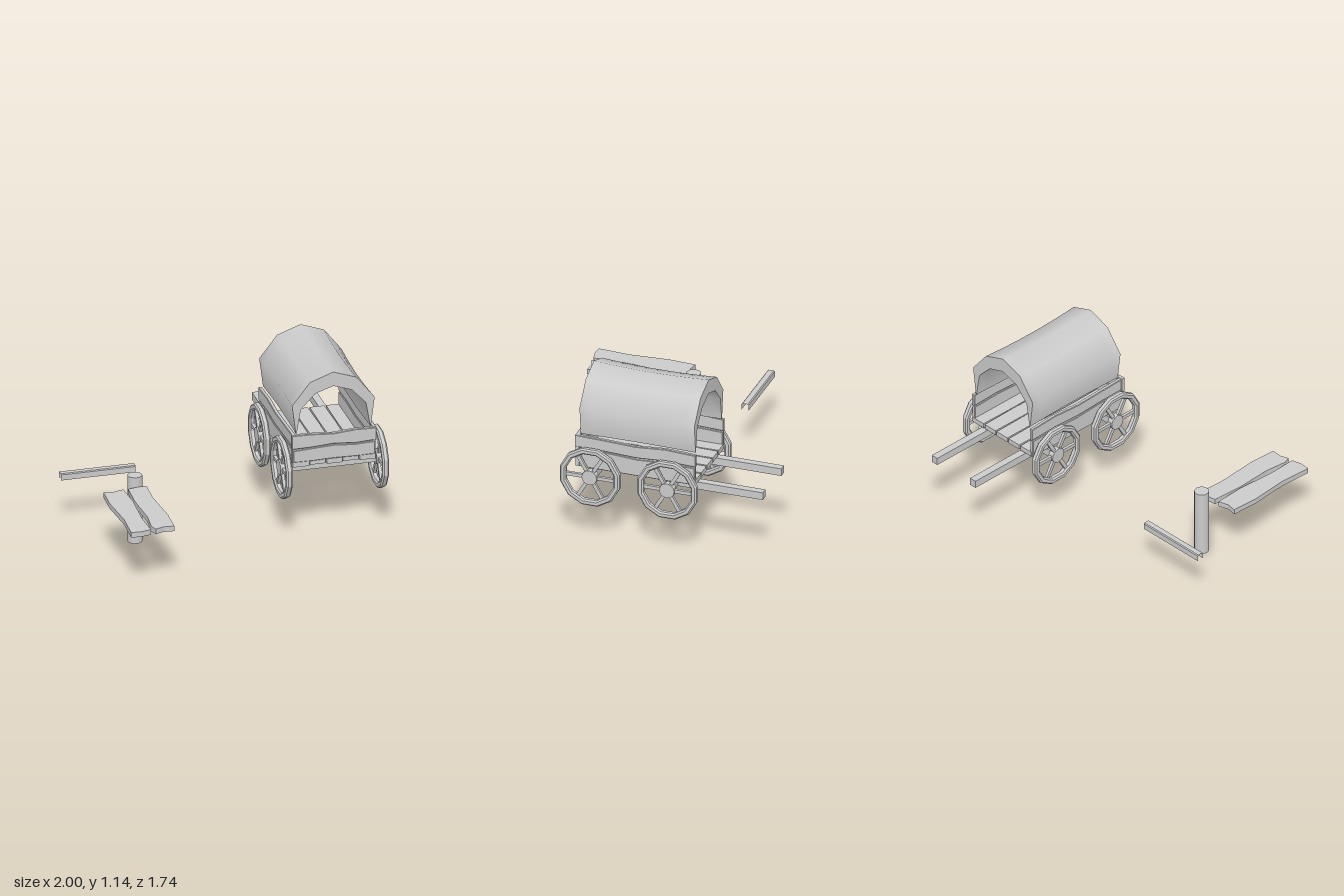
import * as THREE from 'three';

const mat = new THREE.MeshStandardMaterial({ color: 0xcccccc, side: THREE.DoubleSide });
const flat = new THREE.MeshStandardMaterial({ color: 0xcccccc, side: THREE.DoubleSide, flatShading: true });
const CX = 0.656; // centre line of the wagon

function add(parent, name, geo, material = flat) {
  const m = new THREE.Mesh(geo, material);
  m.name = name;
  parent.add(m);
  return m;
}

// Box given by its extents, [min, max] per axis
function box(parent, name, [x0, x1], [y0, y1], [z0, z1]) {
  const m = add(parent, name, new THREE.BoxGeometry(x1 - x0, y1 - y0, z1 - z0));
  m.position.set((x0 + x1) / 2, (y0 + y1) / 2, (z0 + z1) / 2);
  return m;
}

// Worn board: outline in XY, thickness from 0 to depth with chamfered edges
function board(points, depth, open = false) {
  const b = open ? 0 : 0.004;
  const shape = new THREE.Shape(points.map(([x, y]) => new THREE.Vector2(x, y)));
  const geo = new THREE.ExtrudeGeometry(shape, {
    depth: depth - 2 * b, bevelEnabled: !open, bevelThickness: b, bevelSize: b, bevelOffset: -b, bevelSegments: 1,
  });
  geo.translate(0, 0, b);
  if (!open) return geo;
  // leave the underside off
  const p = geo.attributes.position, keep = [];
  for (let i = 0; i < p.count; i += 3) {
    if (Math.max(p.getZ(i), p.getZ(i + 1), p.getZ(i + 2)) < 1e-6) continue;
    for (let j = i; j < i + 3; j++) keep.push(p.getX(j), p.getY(j), p.getZ(j));
  }
  const out = new THREE.BufferGeometry();
  out.setAttribute('position', new THREE.Float32BufferAttribute(keep, 3));
  out.computeVertexNormals();
  return out;
}

// Long board with wavy edges; lower and upper list evenly spaced heights
function wavy(x0, x1, lower, upper) {
  const at = (a) => a.map((y, i) => [x0 + (x1 - x0) * i / (a.length - 1), y]);
  return [...at(lower), ...at(upper).reverse()];
}

// Grid surface from a rule on integer steps
function surface(nu, nv, rule) {
  const geo = new THREE.PlaneGeometry(1, 1, nu, nv);
  const p = geo.attributes.position;
  for (let i = 0; i < p.count; i++) p.setXYZ(i, ...rule(i % (nu + 1), Math.floor(i / (nu + 1))));
  geo.computeVertexNormals();
  return geo;
}

function makeWheel() {
  const wheel = new THREE.Group();
  wheel.name = 'wheel';
  const ring = (r) => Array.from({ length: 12 }, (_, i) => {
    const a = (i + 0.5) * Math.PI / 6;
    return new THREE.Vector2(Math.cos(a) * r, Math.sin(a) * r);
  });
  const rim = new THREE.Shape(ring(0.21));
  rim.holes.push(new THREE.Path(ring(0.168)));
  const rimGeo = new THREE.ExtrudeGeometry(rim, {
    depth: 0.023, bevelThickness: 0.01, bevelSize: 0.01, bevelOffset: -0.01, bevelSegments: 1,
  });
  rimGeo.translate(0, 0, -0.0115).rotateY(Math.PI / 2);
  add(wheel, 'rim', rimGeo);
  add(wheel, 'hub', new THREE.CylinderGeometry(0.052, 0.052, 0.04, 12).rotateZ(Math.PI / 2));
  for (let i = 0; i < 6; i++) {
    const spoke = add(wheel, 'spoke', new THREE.BoxGeometry(0.02, 0.024, 0.13).translate(0, 0, 0.108));
    spoke.rotation.x = i * Math.PI / 3;
  }
  return wheel;
}

function makeCanopy() {
  const canopy = new THREE.Group();
  canopy.name = 'canopy';
  const half = (a) => [...a, ...a.slice(0, -1).reverse().map(([x, y]) => [-x, y])];
  const outer = half([[-0.251, 0.73], [-0.276, 0.928], [-0.157, 1.08], [0, 1.136]]);
  const inner = half([[-0.246, 0.73], [-0.218, 0.895], [-0.122, 0.997], [0, 1.038]]);
  const N = 10;
  // cloth sags towards the middle of its length
  const point = (profile, i, t) => {
    const s = 1 - 0.035 * (1 - (2 * t - 1) ** 2);
    return [CX + profile[i][0] * s, 0.73 + (profile[i][1] - 0.73) * s, -0.428 + 0.786 * t];
  };
  add(canopy, 'canopyOutside', surface(6, N, (i, j) => point(outer, i, j / N)), mat);
  add(canopy, 'canopyInside', surface(6, N, (i, j) => point(inner, 6 - i, j / N)), mat);
  add(canopy, 'canopyFrontEdge', surface(6, 1, (i, j) => point(j ? inner : outer, i, 1)));
  add(canopy, 'canopyBackEdge', surface(6, 1, (i, j) => point(j ? inner : outer, 6 - i, 0)));
  return canopy;
}

function makeWagon() {
  const wagon = new THREE.Group();
  wagon.name = 'wagon';

  // Wheels and axles
  for (const z of [0.268, -0.262]) {
    box(wagon, 'axle', [0.33, 0.98], [0.44, 0.495], [z - 0.027, z + 0.027]);
    for (const side of [-1, 1]) {
      const wheel = makeWheel();
      wheel.position.set(CX + side * 0.322, 0.467, z);
      wagon.add(wheel);
    }
  }

  // Pulling shafts
  for (const side of [-1, 1]) {
    const x = CX + side * 0.177;
    box(wagon, 'shaft', [x - 0.025, x + 0.025], [0.44, 0.492], [-0.87, -0.24]);
  }

  // Floor planks, hollow underneath
  for (let i = 0; i < 5; i++) {
    const x = 0.385 + i * 0.11, front = i % 2 ? 0.372 : 0.386;
    const plank = add(wagon, 'floorPlank', board(
      wavy(-front, 0.435, [x, x + 0.006, x + 0.001, x + 0.004], [x + 0.104, x + 0.1, x + 0.105, x + 0.102])
        .map(([z, px]) => [px, z]).reverse(), 0.034, true));
    plank.rotation.x = -Math.PI / 2;
    plank.position.y = 0.507;
  }

  // Side boards
  const low = wavy(-0.36, 0.432, [0.507, 0.505, 0.505, 0.505, 0.507], [0.632, 0.637, 0.625, 0.636, 0.63]);
  const high = wavy(-0.386, 0.437, [0.645, 0.643, 0.634, 0.645, 0.638], [0.73, 0.724, 0.716, 0.732, 0.722]);
  for (const x of [0.375, 0.911]) {
    for (const [name, outline] of [['lowerSideBoard', low], ['upperSideBoard', high]]) {
      const b = add(wagon, name, board(outline, 0.026));
      b.rotation.y = Math.PI / 2;
      b.position.x = x;
    }
  }

  // Front boards
  const frontLow = wavy(0.38, 0.928, [0.54, 0.538, 0.542, 0.538, 0.54], [0.622, 0.63, 0.636, 0.625, 0.63]);
  const frontHigh = wavy(0.37, 0.936, [0.634, 0.636, 0.645, 0.632, 0.64], [0.732, 0.728, 0.718, 0.73, 0.726]);
  add(wagon, 'lowerFrontBoard', board(frontLow, 0.026)).position.z = 0.36;
  add(wagon, 'upperFrontBoard', board(frontHigh, 0.03)).position.z = 0.36;
  for (const x of [0.378, 0.908]) box(wagon, 'cornerPost', [x, x + 0.024], [0.507, 0.70], [0.358, 0.384]);

  wagon.add(makeCanopy());
  return wagon;
}

function makeSpares() {
  const spares = new THREE.Group();
  spares.name = 'looseTimber';

  // Round post
  add(spares, 'post', new THREE.CylinderGeometry(0.048, 0.048, 0.465, 16), mat).position.set(-0.608, 0.2325, 0.13);

  // Two worn planks, hollow underneath; outlines as [x, -z]
  const outlines = [
    [[-0.838, -0.862], [-0.77, -0.866], [-0.702, -0.85], [-0.71, -0.65], [-0.692, -0.4], [-0.702, -0.19],
      [-0.77, -0.21], [-0.838, -0.2], [-0.847, -0.38], [-0.826, -0.65]],
    [[-0.67, -0.85], [-0.61, -0.83], [-0.542, -0.836], [-0.533, -0.65], [-0.553, -0.36], [-0.543, -0.175],
      [-0.61, -0.18], [-0.67, -0.19], [-0.682, -0.4], [-0.67, -0.65], [-0.686, -0.8]],
  ];
  for (const outline of outlines) {
    const plank = add(spares, 'wornPlank', board(outline, 0.036, true));
    plank.rotation.x = -Math.PI / 2;
    plank.position.y = 0.363;
  }

  // Rail: an open channel with chamfered top edges
  const section = [[-0.284, 0.315], [-0.284, 0.354], [-0.278, 0.36], [-0.242, 0.36], [-0.236, 0.354], [-0.236, 0.315]];
  add(spares, 'rail', surface(1, 5, (i, j) => [i ? -0.5 : -1, section[j][1], section[j][0]]));
  return spares;
}

export function createModel() {
  const model = new THREE.Group();
  model.name = 'coveredWagonSet';
  model.add(makeWagon(), makeSpares());
  return model;
}
